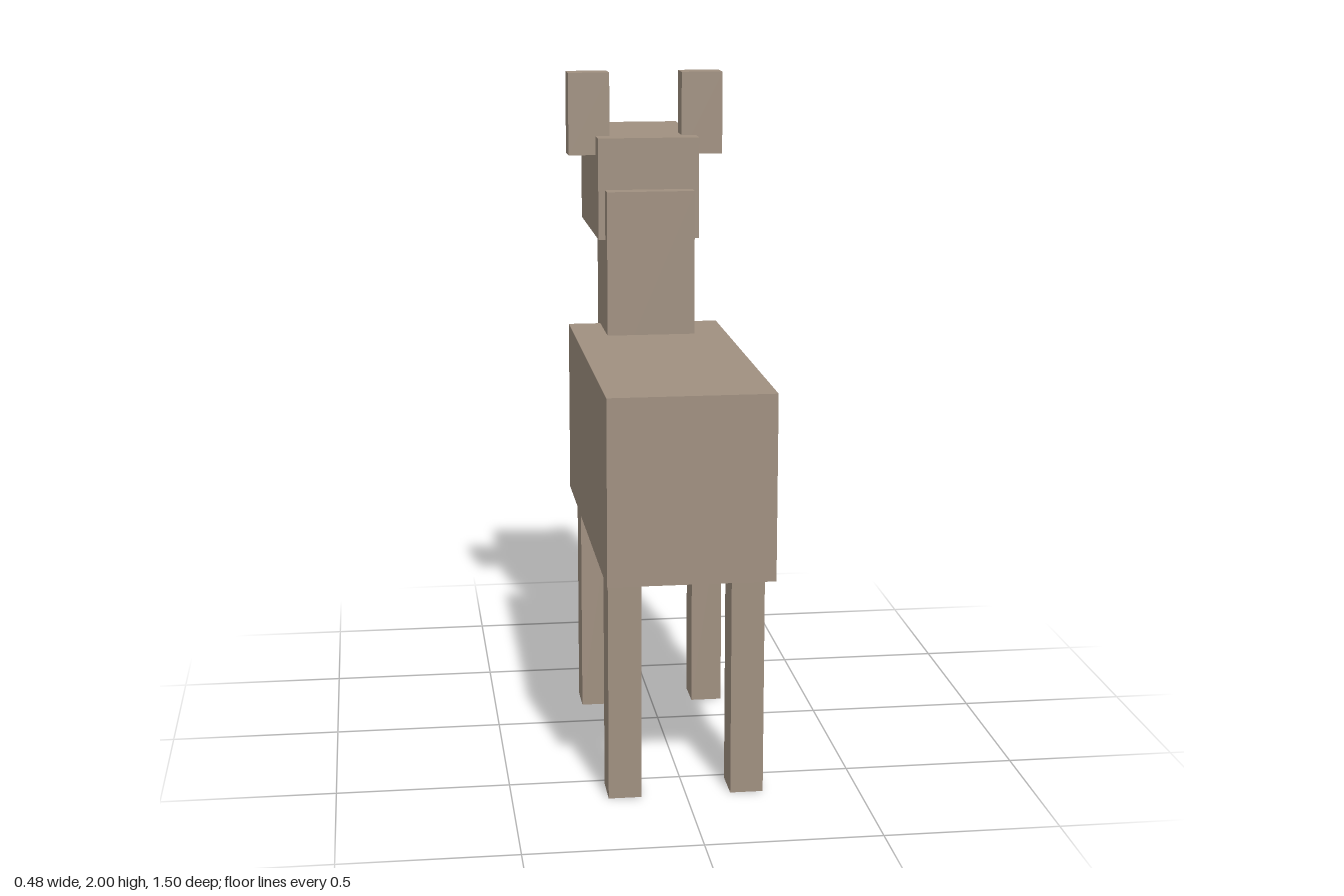
import * as THREE from 'three';

const hide = new THREE.MeshStandardMaterial({ color: 0xa09080, flatShading: true });

// Box spanning the given [min, max] range on each axis
function block(name, [x0, x1], [y0, y1], [z0, z1]) {
  const mesh = new THREE.Mesh(new THREE.BoxGeometry(x1 - x0, y1 - y0, z1 - z0), hide);
  mesh.position.set((x0 + x1) / 2, (y0 + y1) / 2, (z0 + z1) / 2);
  mesh.name = name;
  return mesh;
}

export function createModel() {
  const group = new THREE.Group();
  group.name = 'blockyAnimal';

  // Trunk, neck and head; the head points towards -z
  group.add(
    block('body', [-0.237, 0.237], [0.665, 1.2], [-0.375, 0.75]),
    block('neck', [-0.136, 0.136], [1.01, 1.646], [-0.445, -0.157]),
    block('head', [-0.157, 0.157], [1.492, 1.805], [-0.75, -0.212]),
  );

  // Mirrored ears and legs
  for (const side of [-1, 1]) {
    const span = (inner, outer) => (side > 0 ? [inner, outer] : [-outer, -inner]);
    group.add(
      block('ear', span(0.113, 0.241), [1.746, 2], [-0.378, -0.29]),
      block('frontLeg', span(0.129, 0.224), [0, 0.665], [-0.26, -0.147]),
      block('hindLeg', span(0.129, 0.224), [0, 0.665], [0.525, 0.64]),
    );
  }
  return group;
}
